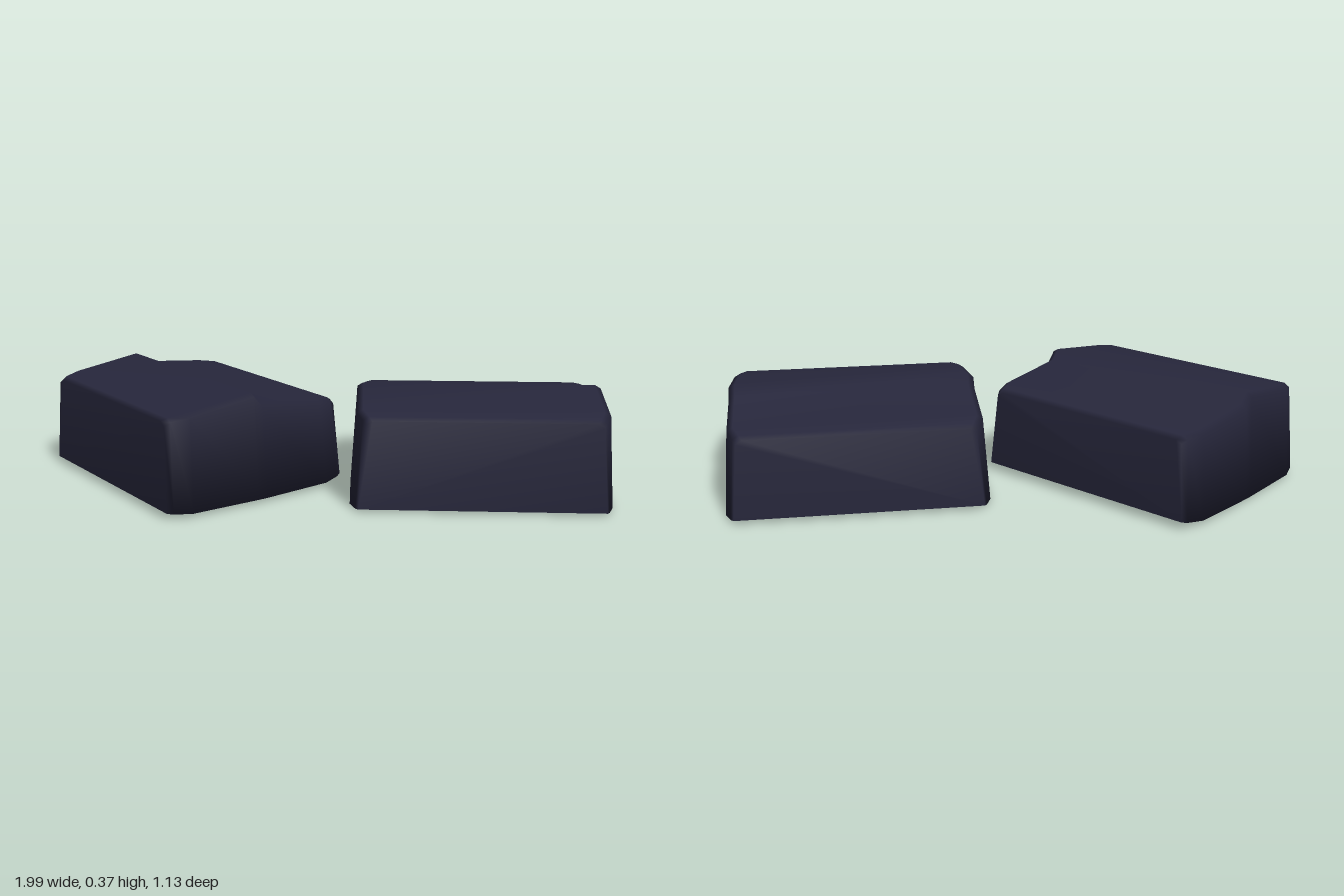
import * as THREE from 'three';

// Stations from rear to front: [depth, half width, base height, top height]
const stations = [
  [-0.345, 0.40, 0.015, 0.277],
  [-0.325, 0.41, 0.010, 0.288],
  [-0.265, 0.43, 0.004, 0.296],
  [-0.015, 0.435, 0.0, 0.322],
  [0.015, 0.435, 0.0, 0.356],
  [0.265, 0.43, 0.002, 0.322],
  [0.325, 0.41, 0.006, 0.313],
  [0.345, 0.40, 0.010, 0.303],
];

// Smooth block with tapered walls, bevelled rim and a stepped top
function blockGeometry() {
  const points = [], index = [], n = 6;
  for (const [z, w, base, top] of stations) {
    const t = w - 0.022, zt = z * 0.965;
    points.push(-w, base, z, w, base, z);
    points.push(t, top - 0.012, zt, t - 0.02, top, zt, -t + 0.02, top, zt, -t, top - 0.012, zt);
  }
  for (let i = 0; i < stations.length - 1; i++) {
    for (let j = 0; j < n; j++) {
      const a = i * n + j, b = i * n + (j + 1) % n;
      index.push(a, b, b + n, a, b + n, a + n);
    }
  }
  // Rear and front walls
  const last = (stations.length - 1) * n;
  for (let j = 1; j < n - 1; j++) {
    index.push(0, j + 1, j, last, last + j, last + j + 1);
  }
  const geometry = new THREE.BufferGeometry();
  geometry.setAttribute('position', new THREE.Float32BufferAttribute(points, 3));
  geometry.setIndex(index);
  geometry.computeVertexNormals();
  return geometry;
}

export function createModel() {
  const model = new THREE.Group();
  model.name = 'blockPair';
  const navy = new THREE.MeshStandardMaterial({ color: 0x27273c });
  navy.name = 'darkNavy';
  const geometry = blockGeometry();

  const addBlock = (name, x, y, z, degrees) => {
    const block = new THREE.Mesh(geometry, navy);
    block.name = name;
    block.position.set(x, y, z);
    block.rotation.y = THREE.MathUtils.degToRad(degrees);
    model.add(block);
  };
  addBlock('rightBlock', -0.467, 0.012, 0.052, -35.4);
  addBlock('leftBlock', 0.513, 0, -0.132, 15);
  return model;
}
